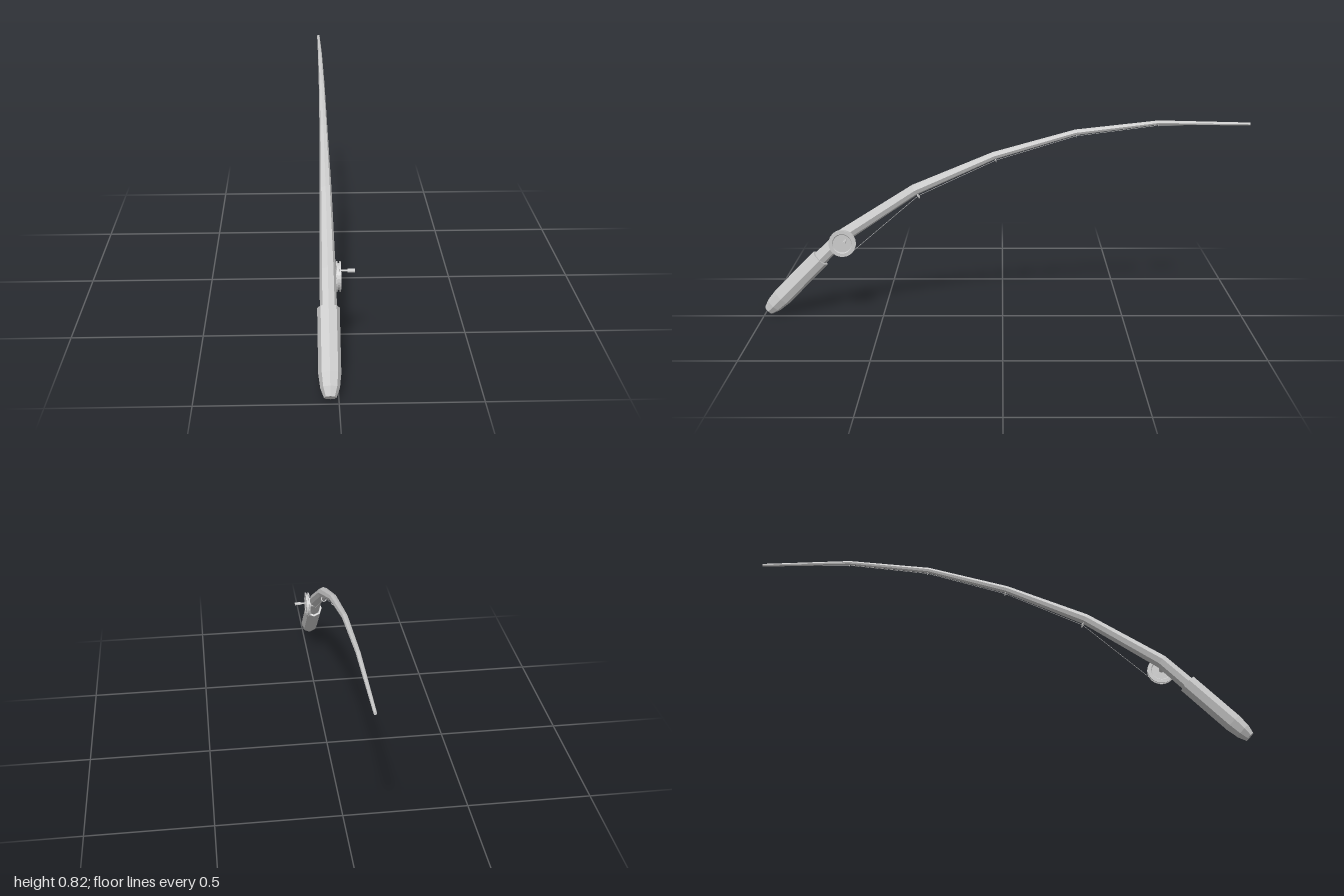
import * as THREE from 'three';

const X0 = -0.03; // rod centre plane
const SIDES = 8;
const mat = new THREE.MeshStandardMaterial({ color: 0xcccccc, flatShading: true });
const smooth = new THREE.MeshStandardMaterial({ color: 0xcccccc });

function add(group, name, geometry, material = mat) {
  const mesh = new THREE.Mesh(geometry, material);
  mesh.name = name;
  group.add(mesh);
  return mesh;
}

// Direction along a path of [z, y, radius] stations, averaged at the bends
function tangent(path, i) {
  const unit = (a, b) => new THREE.Vector2(b[0] - a[0], b[1] - a[1]).normalize();
  const t = new THREE.Vector2();
  if (i > 0) t.add(unit(path[i - 1], path[i]));
  if (i < path.length - 1) t.add(unit(path[i], path[i + 1]));
  return t.normalize();
}

// Closed octagonal loft through the stations
function loft(path) {
  const pos = [], idx = [];
  path.forEach(([z, y, r], i) => {
    const t = tangent(path, i);
    for (let k = 0; k < SIDES; k++) {
      const a = (k / SIDES) * Math.PI * 2;
      const s = Math.sin(a) * r;
      pos.push(X0 + Math.cos(a) * r, y - t.x * s, z + t.y * s);
    }
  });
  const last = (path.length - 1) * SIDES;
  for (let i = 0; i < last; i += SIDES) {
    for (let k = 0; k < SIDES; k++) {
      const n = (k + 1) % SIDES;
      idx.push(i + k, i + SIDES + k, i + n, i + n, i + SIDES + k, i + SIDES + n);
    }
  }
  for (let k = 1; k < SIDES - 1; k++) {
    idx.push(0, k, k + 1, last, last + k + 1, last + k);
  }
  const g = new THREE.BufferGeometry();
  g.setAttribute('position', new THREE.Float32BufferAttribute(pos, 3));
  g.setIndex(idx);
  g.computeVertexNormals();
  return g;
}

// Cylinder lying along x from x0 to x1
function discX(group, name, r, x0, x1, y, z, sides) {
  const mesh = add(group, name, new THREE.CylinderGeometry(r, r, x1 - x0, sides).rotateZ(Math.PI / 2));
  mesh.position.set((x0 + x1) / 2, y, z);
}

export function createModel() {
  const model = new THREE.Group();
  model.name = 'fishingRod';

  // Grip with rounded butt
  add(model, 'grip', loft([
    [0.984, 0.016, 0.022], [0.96, 0.04, 0.034], [0.925, 0.075, 0.04], [0.758, 0.244, 0.04],
  ]));

  // Bent, tapering blank
  const blank = [
    [0.79, 0.212, 0.031], [0.66, 0.342, 0.029], [0.36, 0.537, 0.023], [0.035, 0.679, 0.016],
    [-0.295, 0.775, 0.012], [-0.63, 0.815, 0.009], [-1, 0.809, 0.006],
  ];
  add(model, 'blank', loft(blank));

  // Reel: one turned spool with two flanges and dished faces, plus crank
  const reel = new THREE.Group();
  reel.name = 'reel';
  model.add(reel);
  const ry = 0.319, rz = 0.66;
  const profile = [
    [0, 0.003], [0.038, 0.003], [0.041, 0], [0.056, 0], [0.056, 0.005], [0.048, 0.005],
    [0.048, 0.012], [0.056, 0.012], [0.056, 0.017], [0.041, 0.017], [0.038, 0.014], [0, 0.014],
  ].map(([r, h]) => new THREE.Vector2(r, h));
  const spool = add(reel, 'spool', new THREE.LatheGeometry(profile, 24).rotateZ(-Math.PI / 2));
  spool.position.set(0, ry, rz);
  discX(reel, 'reelAxle', 0.01, -0.025, 0.004, ry, rz, 8);
  discX(reel, 'crankPin', 0.004, 0.013, 0.044, 0.335, 0.645, 8);
  discX(reel, 'crankKnob', 0.007, 0.042, 0.068, 0.335, 0.645, 8);

  // Guide rings under each bend, shrinking to the tip
  const linePoints = [new THREE.Vector3(0.009, 0.285, 0.618)];
  for (let i = 2; i < blank.length; i++) {
    const [z, y, r] = blank[i];
    const t = tangent(blank, i);
    const tip = i === blank.length - 1;
    const size = r * 0.45;
    const drop = tip ? 0 : r + size * 0.6;
    const p = new THREE.Vector3(X0, y + t.x * drop, z - t.y * drop);
    if (!tip) {
      const ring = add(model, 'guideRing', new THREE.TorusGeometry(size, size * 0.25, 6, 12), smooth);
      ring.position.copy(p);
      ring.rotation.x = Math.atan2(-t.y, t.x);
    }
    linePoints.push(p);
  }

  // Taut line from spool through the guides
  for (let i = 1; i < linePoints.length; i++) {
    const a = linePoints[i - 1], b = linePoints[i];
    add(model, 'line', new THREE.TubeGeometry(new THREE.LineCurve3(a, b), 1, 0.001, 5), smooth);
  }
  return model;
}
